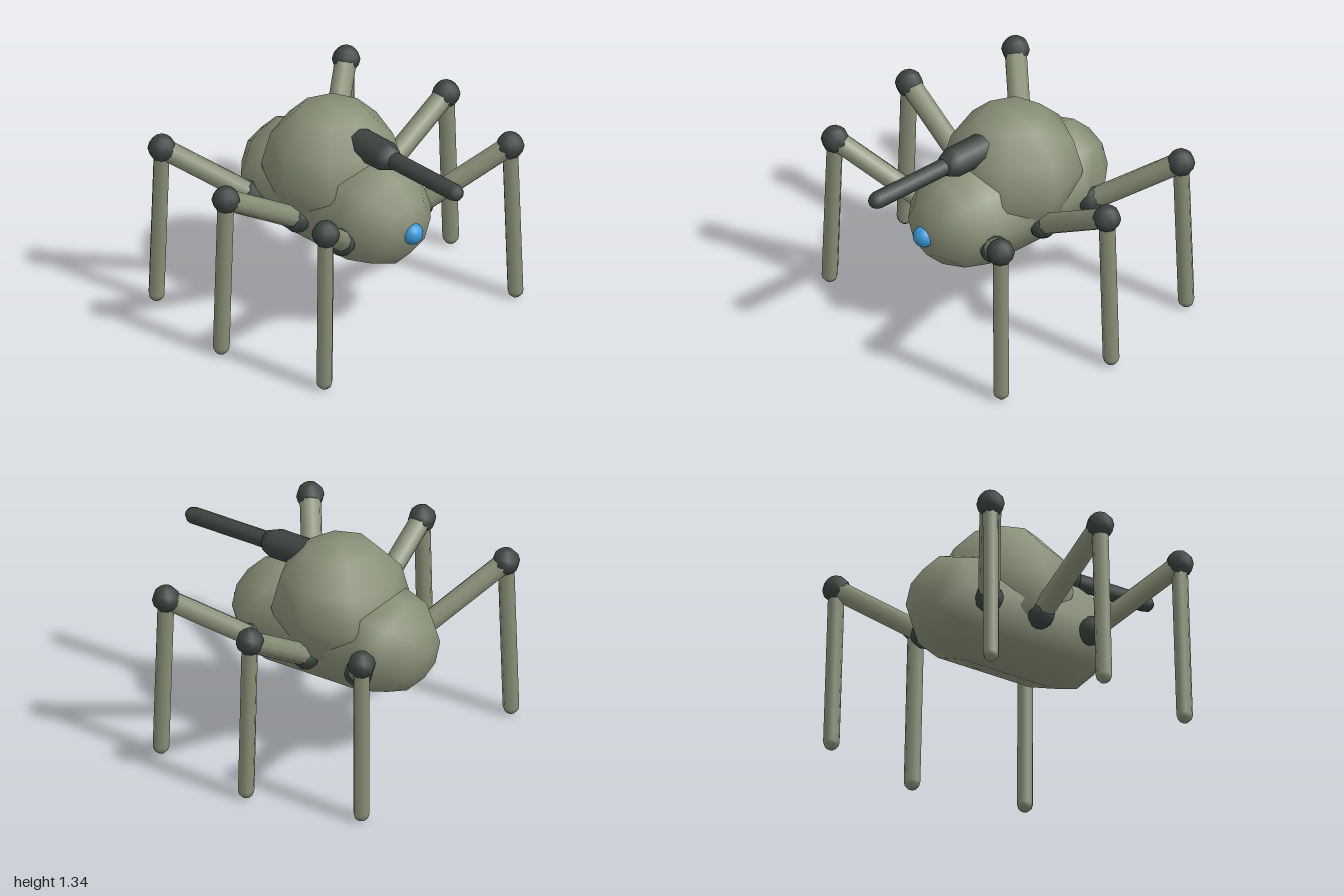
import * as THREE from 'three';

const olive = new THREE.MeshStandardMaterial({ name: 'olive armour', color: 0x888f77 });
const dark = new THREE.MeshStandardMaterial({ name: 'dark metal', color: 0x3c4440 });
const blue = new THREE.MeshStandardMaterial({ name: 'blue lens', color: 0x3a98d8 });

const UP = new THREE.Vector3(0, 1, 0);

function ball(name, radius, position, material, wide = 8, high = 6) {
  const mesh = new THREE.Mesh(new THREE.SphereGeometry(radius, wide, high), material);
  mesh.name = name;
  mesh.position.set(...position);
  return mesh;
}

// Capsule whose end-cap centres sit at the points a and b
function rod(name, radius, a, b, material, capSegments = 3) {
  const start = new THREE.Vector3(...a);
  const span = new THREE.Vector3(...b).sub(start);
  const geometry = new THREE.CapsuleGeometry(radius, span.length(), capSegments, 8);
  const mesh = new THREE.Mesh(geometry, material);
  mesh.name = name;
  mesh.position.copy(start).addScaledVector(span, 0.5);
  mesh.quaternion.setFromUnitVectors(UP, span.normalize());
  return mesh;
}

// One leg: hip ball, thigh, knee ball and thin shin
function makeLeg(name, hip, knee, foot) {
  const leg = new THREE.Group();
  leg.name = name;
  leg.add(
    ball('hip', 0.09, hip, dark),
    rod('thigh', 0.066, hip, knee, olive),
    ball('knee', 0.086, knee, dark),
    rod('shin', 0.05, knee, foot, olive),
  );
  return leg;
}

export function createModel() {
  const model = new THREE.Group();
  model.name = 'walker';

  // Hull and turret
  model.add(rod('hull', 0.34, [0, 0.755, -0.49], [0, 0.755, 0.2], olive));
  model.add(ball('turret', 0.425, [0, 0.92, -0.18], olive));

  // Gun
  model.add(rod('gunMount', 0.093, [0, 1.17, 0], [0, 1.17, 0.29], dark, 2));
  model.add(rod('gunBarrel', 0.053, [0, 1.17, 0.2], [0, 1.17, 0.887], dark));

  // Eye on the nose
  model.add(ball('eye', 0.068, [0, 0.733, 0.515], blue, 12, 10));

  // Three pairs of legs, fanned about the hull middle
  const middle = -0.145;
  const rows = [['front', 1], ['middle', 0], ['rear', -1]];
  for (const [row, dir] of rows) {
    for (const side of [1, -1]) {
      const kneeX = dir ? 0.763 : 0.912;
      const footX = dir ? 0.791 : 0.95;
      model.add(makeLeg(
        `${row}${side > 0 ? 'Left' : 'Right'}Leg`,
        [side * 0.32, 0.69, middle + dir * 0.385],
        [side * kneeX, 1.055, middle + dir * 0.71],
        [side * footX, 0.054, middle + dir * 0.727],
      ));
    }
  }
  return model;
}
